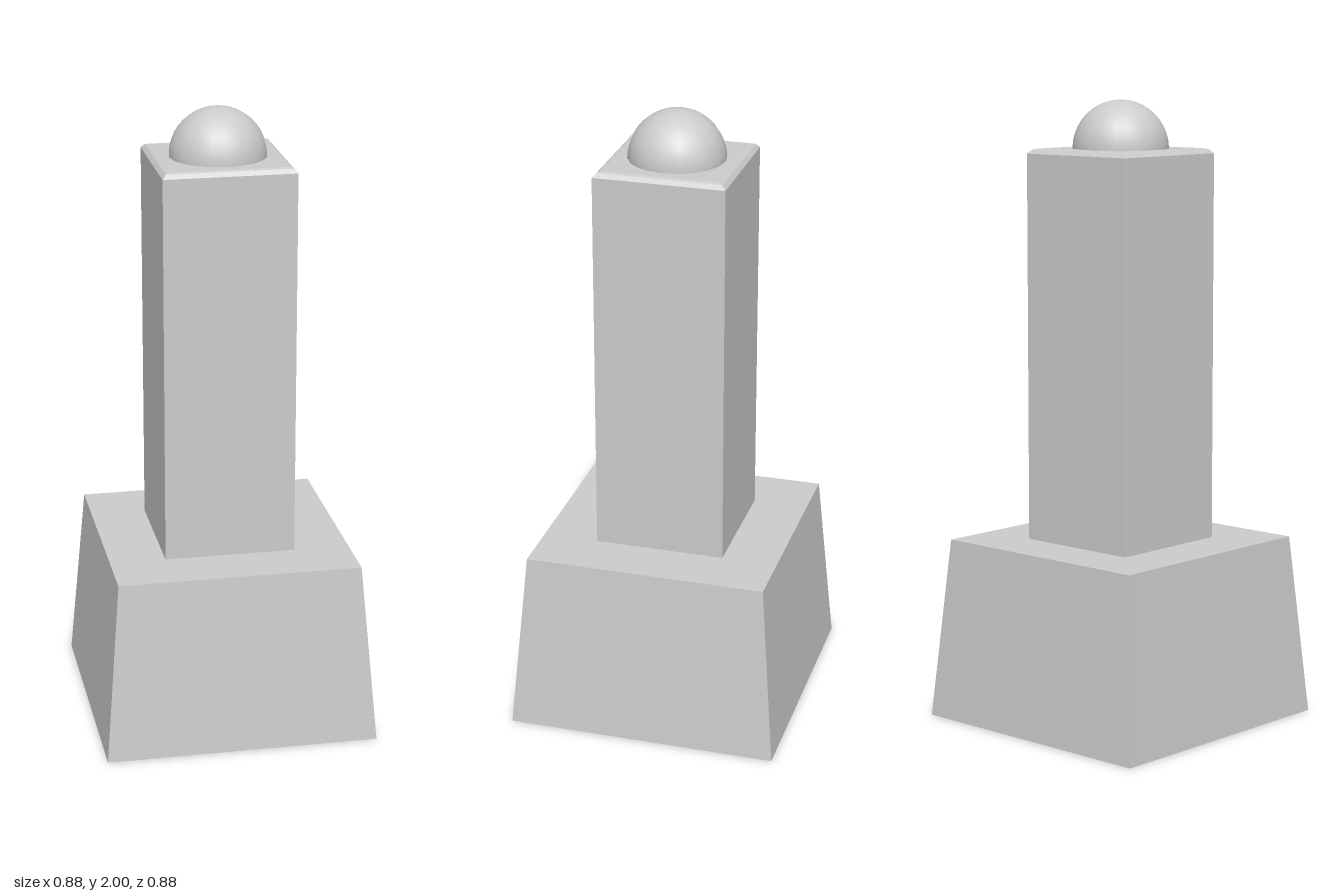
import * as THREE from 'three';

const flat = new THREE.MeshStandardMaterial({ color: 0xcccccc, flatShading: true });
const smooth = new THREE.MeshStandardMaterial({ color: 0xcccccc });

// Square solid from a profile of [half width, height], bottom to top
function squareSolid(name, profile) {
  const points = profile.map(([half, y]) => new THREE.Vector2(half * Math.SQRT2, y));
  const geometry = new THREE.LatheGeometry(points, 4).rotateY(Math.PI / 4);
  const mesh = new THREE.Mesh(geometry, flat);
  mesh.name = name;
  return mesh;
}

export function createModel() {
  const group = new THREE.Group();
  group.name = 'bollard';

  // Tapered foot
  group.add(squareSolid('base', [[0, 0], [0.438, 0], [0.389, 0.585], [0, 0.585]]));

  // Square post with a small two-step bevel around its top
  group.add(squareSolid('post', [
    [0, 0.58], [0.21, 0.58], [0.21, 1.83], [0.198, 1.843], [0.186, 1.846], [0, 1.846],
  ]));

  // Domed cap
  const dome = new THREE.Mesh(
    new THREE.SphereGeometry(0.154, 20, 10, 0, Math.PI * 2, 0, Math.PI / 2), smooth);
  dome.name = 'dome';
  dome.position.y = 1.846;
  group.add(dome);

  return group;
}
